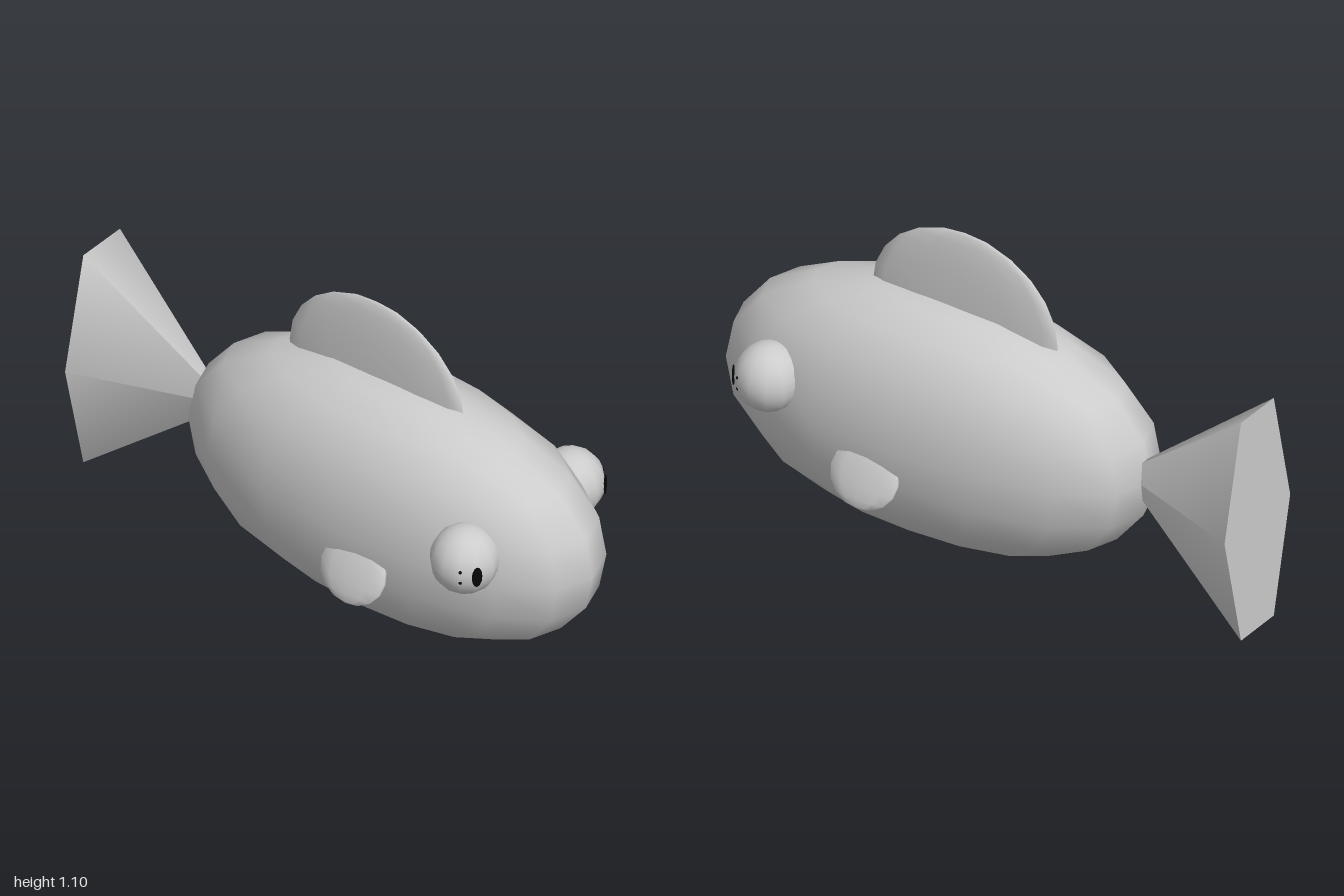
import * as THREE from 'three';
import { mergeVertices } from 'three/addons/utils/BufferGeometryUtils.js';

const grey = new THREE.MeshStandardMaterial({ color: 0xcccccc });
grey.name = 'grey';
const black = new THREE.MeshStandardMaterial({ color: 0x080808 });
black.name = 'black';

function addMesh(parent, name, geometry, material, x, y, z) {
  const mesh = new THREE.Mesh(geometry, material);
  mesh.name = name;
  mesh.position.set(x, y, z);
  parent.add(mesh);
  return mesh;
}

const ellipsoid = (rx, ry, rz, w, h) => new THREE.SphereGeometry(1, w, h).scale(rx, ry, rz);

// Slightly squared-off ellipsoid for the body
function bodyGeometry() {
  const sphere = new THREE.SphereGeometry(1, 16, 10);
  sphere.deleteAttribute('uv');
  sphere.deleteAttribute('normal');
  const geometry = mergeVertices(sphere, 1e-4);
  const pos = geometry.attributes.position;
  const p = 2.25;
  const v = new THREE.Vector3();
  for (let i = 0; i < pos.count; i++) {
    v.fromBufferAttribute(pos, i);
    const sum = Math.abs(v.x) ** p + Math.abs(v.y) ** p + Math.abs(v.z) ** p;
    v.multiplyScalar(sum ** (-1 / p));
    pos.setXYZ(i, v.x, v.y, v.z);
  }
  geometry.scale(0.323, 0.421, 0.793);
  geometry.computeVertexNormals();
  return geometry;
}

export function createModel() {
  const fish = new THREE.Group();
  fish.name = 'fish';

  addMesh(fish, 'body', bodyGeometry(), grey, 0, 0.424, 0.203);
  addMesh(fish, 'dorsalFin', ellipsoid(0.035, 0.305, 0.355, 12, 12), grey, 0, 0.8, 0.12);

  // Six-sided tail cone, its tip buried in the body
  const tail = new THREE.ConeGeometry(1, 1, 6, 1, false, Math.PI / 2);
  tail.rotateX(Math.PI / 2).scale(0.185, 0.467, 0.52);
  addMesh(fish, 'tail', tail, grey, 0, 0.427, -0.74);

  for (const side of [1, -1]) {
    const label = side > 0 ? 'left' : 'right';

    // Bulging eye with a pupil set into its front
    const eye = new THREE.Group();
    eye.name = label + 'Eye';
    eye.position.set(side * 0.265, 0.512, 0.692);
    fish.add(eye);
    addMesh(eye, 'eyeball', ellipsoid(0.115, 0.117, 0.113, 12, 12), grey, 0, 0, 0);
    const pupil = addMesh(eye, 'pupil', ellipsoid(0.018, 0.038, 0.005, 8, 6), black,
      side * 0.059, 0, 0.096);
    pupil.rotation.y = side * 0.53;
    for (const dy of [0.02, -0.02]) {
      const spot = addMesh(eye, 'pupilSpot', ellipsoid(0.006, 0.007, 0.004, 6, 4), black,
        side * 0.095, dy, 0.056);
      spot.rotation.y = side * 1.04;
    }

    // Side fin, splayed outward at the bottom
    const fin = addMesh(fish, label + 'SideFin', ellipsoid(0.024, 0.112, 0.134, 10, 8), grey,
      side * 0.32, 0.31, 0.285);
    fin.rotation.z = side * 0.42;
  }
  return fish;
}
